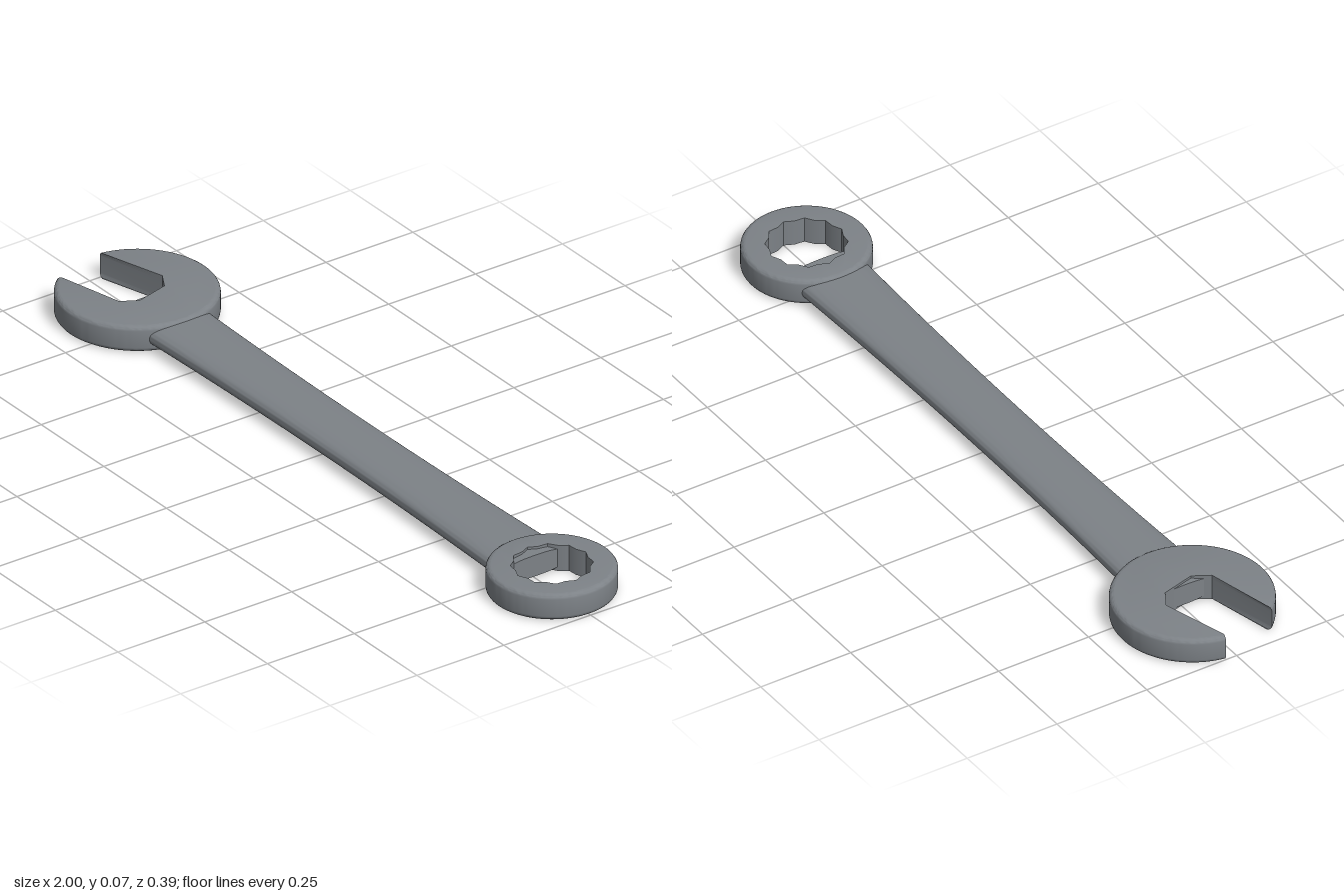
import * as THREE from 'three';
import { toCreasedNormals } from 'three/addons/utils/BufferGeometryUtils.js';

const HEIGHT = 0.068;
const BEVEL = 0.012;

// Flat head lying on y = 0 whose outer rim (radius R) is rounded over; cut-outs stay sharp.
function headGeometry(shape, R) {
  const levels = [];
  const n = 4;
  for (let k = 0; k <= n; k++) {
    const a = (k / n) * Math.PI / 2;
    levels.push({ y: BEVEL * (1 - Math.cos(a)), inset: BEVEL * (1 - Math.sin(a)) });
  }
  for (let k = n; k >= 0; k--) levels.push({ y: HEIGHT - levels[k].y, inset: levels[k].inset });

  const steps = levels.length - 1;
  const geo = new THREE.ExtrudeGeometry(shape, { depth: 1, steps, bevelEnabled: false, curveSegments: 64 });
  const p = geo.attributes.position;
  for (let i = 0; i < p.count; i++) {
    const level = levels[Math.round(p.getZ(i) * steps)];
    const x = p.getX(i), y = p.getY(i);
    const r = Math.hypot(x, y);
    const s = r > R - 0.001 ? (R - level.inset) / r : 1;
    p.setXYZ(i, x * s, y * s, level.y);
  }
  geo.rotateX(-Math.PI / 2);
  return toCreasedNormals(geo, 0.5);
}

// Open jaw: a disc with a slot that ends in a half-hexagon seat
function openJawGeometry() {
  const R = 0.195, half = 0.08;
  const a = Math.PI - Math.asin(half / R);
  const shape = new THREE.Shape();
  shape.absarc(0, 0, R, -a, a, false);
  shape.lineTo(0.01, half);
  shape.lineTo(0.045, 0.045);
  shape.lineTo(0.045, -0.045);
  shape.lineTo(0.01, -half);
  shape.closePath();
  return headGeometry(shape, R);
}

// Ring end: a disc with a twelve-point hole
function ringGeometry() {
  const R = 0.155;
  const shape = new THREE.Shape();
  shape.absarc(0, 0, R, 0, Math.PI * 2, false);
  const points = [];
  for (let i = 0; i < 24; i++) {
    const a = (i / 24) * Math.PI * 2;
    const r = i % 2 ? 0.09 : 0.098;
    points.push(new THREE.Vector2(r * Math.cos(a), r * Math.sin(a)));
  }
  shape.holes.push(new THREE.Path(points));
  return headGeometry(shape, R);
}

// Shank: rounded flat bar, slightly waisted in the middle
function shankGeometry(x0, x1) {
  const geo = new THREE.CylinderGeometry(1, 1, x1 - x0, 48, 20);
  geo.rotateZ(-Math.PI / 2);
  geo.translate((x0 + x1) / 2, 0, 0);
  const soften = (v) => Math.sign(v) * Math.pow(Math.abs(v), 2 / 2.6);
  const p = geo.attributes.position;
  for (let i = 0; i < p.count; i++) {
    const x = p.getX(i);
    const width = 0.078 + 0.014 * (x / 0.7) ** 2;
    p.setXYZ(i, x, HEIGHT / 2 + 0.028 * soften(p.getY(i)), width * soften(p.getZ(i)));
  }
  return toCreasedNormals(geo, 0.7);
}

export function createModel() {
  const group = new THREE.Group();
  group.name = 'wrench';
  const steel = new THREE.MeshStandardMaterial({ color: 0x7d8287 });
  steel.name = 'steel grey';

  const add = (name, geometry, x) => {
    const mesh = new THREE.Mesh(geometry, steel);
    mesh.name = name;
    mesh.position.x = x;
    group.add(mesh);
    return mesh;
  };

  add('shank', shankGeometry(-0.77, 0.78), 0);
  add('ringEnd', ringGeometry(), 0.845);
  // The jaw opening is turned 15 degrees from the shank
  add('openJaw', openJawGeometry(), -0.81).rotation.y = Math.PI / 12;
  return group;
}
